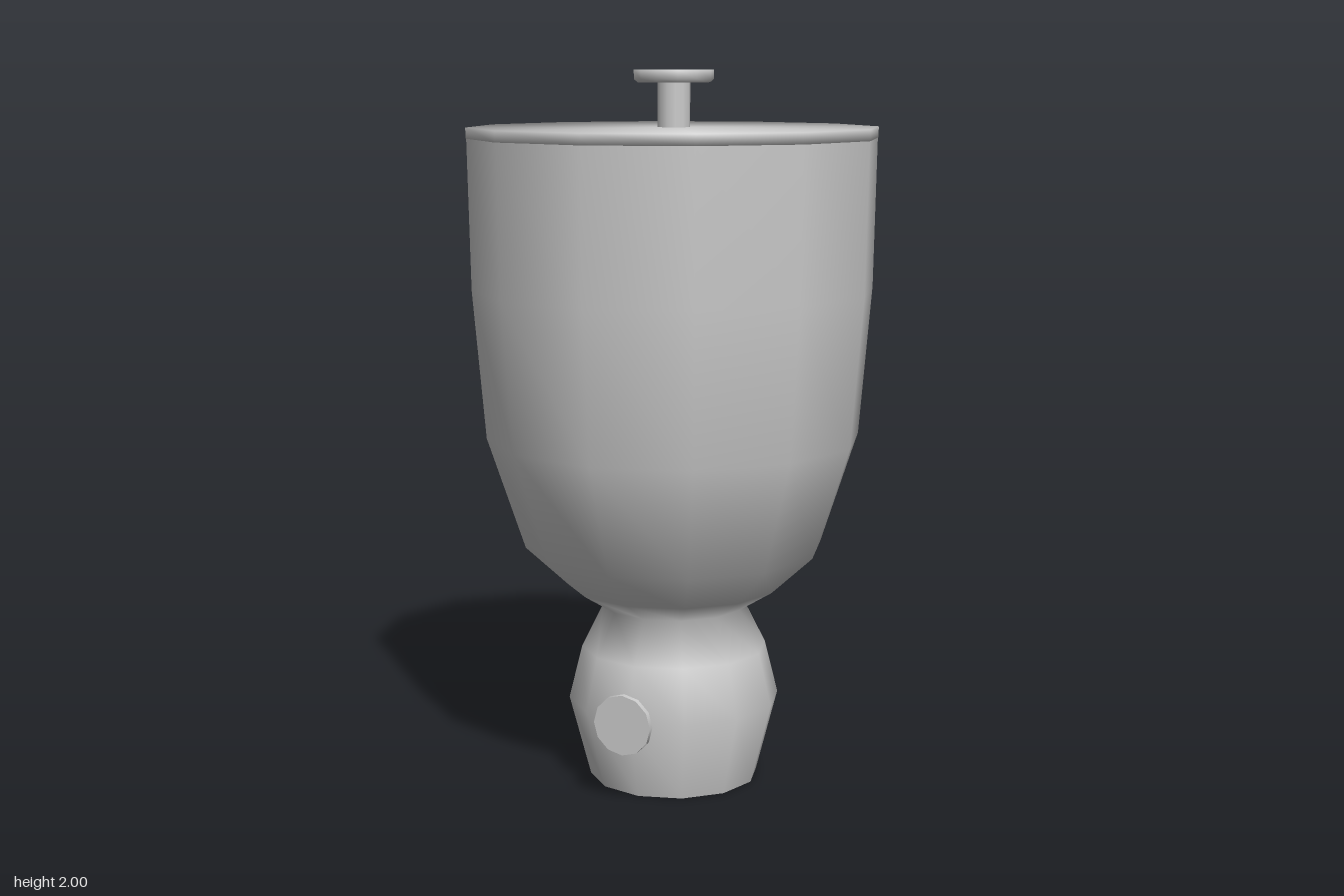
import * as THREE from 'three';

const SIDES = 12;
const material = new THREE.MeshStandardMaterial({ color: 0xcccccc, side: THREE.DoubleSide });

// Turned part with soft normals. Profile points run bottom to top: [radius, y, optional normal tilt in degrees].
function turned(name, profile) {
  const geometry = new THREE.LatheGeometry(profile.map(([r, y]) => new THREE.Vector2(r, y)), SIDES);
  const segment = profile.slice(1).map(([r, y], i) =>
    new THREE.Vector2(y - profile[i][1], profile[i][0] - r).normalize());
  const normals = profile.map(([r, , tilt], i) => {
    if (tilt !== undefined) {
      const a = THREE.MathUtils.degToRad(tilt);
      return new THREE.Vector2(Math.cos(a), Math.sin(a));
    }
    const n = new THREE.Vector2();
    if (i > 0) n.add(segment[i - 1]);
    if (i < segment.length) n.add(segment[i]);
    return n.normalize();
  });
  const attribute = geometry.attributes.normal;
  for (let s = 0; s <= SIDES; s++) {
    const phi = (s / SIDES) * Math.PI * 2;
    normals.forEach((n, i) => attribute.setXYZ(
      s * profile.length + i, n.x * Math.sin(phi), n.y, n.x * Math.cos(phi)));
  }
  const mesh = new THREE.Mesh(geometry, material);
  mesh.name = name;
  return mesh;
}

// Short round bar pointing forward along z
function frontDisc(name, radius, zBack, zFront, y) {
  const geometry = new THREE.CylinderGeometry(radius, radius, zFront - zBack, SIDES);
  geometry.rotateX(Math.PI / 2);
  const mesh = new THREE.Mesh(geometry, material);
  mesh.name = name;
  mesh.position.set(0, y, (zBack + zFront) / 2);
  return mesh;
}

export function createModel() {
  const model = new THREE.Group();
  model.name = 'lidded container';

  // Hollow foot flowing through a narrow neck into the tall bowl
  model.add(turned('body', [
    [0.24, 0], [0.3, 0.23], [0.263, 0.38], [0.203, 0.5], [0.3, 0.56],
    [0.42, 0.67], [0.525, 0.985], [0.56, 1.4], [0.568, 1.815],
  ]));

  // Flat lid with a soft rim
  model.add(turned('lid', [[0, 1.815], [0.57, 1.815], [0.57, 1.845, 27], [0, 1.845]]));

  // Knob on its stem
  const knob = new THREE.Group();
  knob.name = 'lidKnob';
  knob.add(turned('knobStem', [[0.045, 1.84], [0.045, 1.97]]));
  knob.add(turned('knobCap', [[0, 1.966], [0.1, 1.966], [0.11, 1.975], [0.11, 2, 27], [0, 2]]));
  model.add(knob);

  // Dial on the front of the foot
  const dial = new THREE.Group();
  dial.name = 'frontDial';
  dial.add(frontDisc('dialStem', 0.05, 0.24, 0.327, 0.235));
  dial.add(frontDisc('dialFace', 0.085, 0.326, 0.342, 0.235));
  model.add(dial);

  return model;
}
